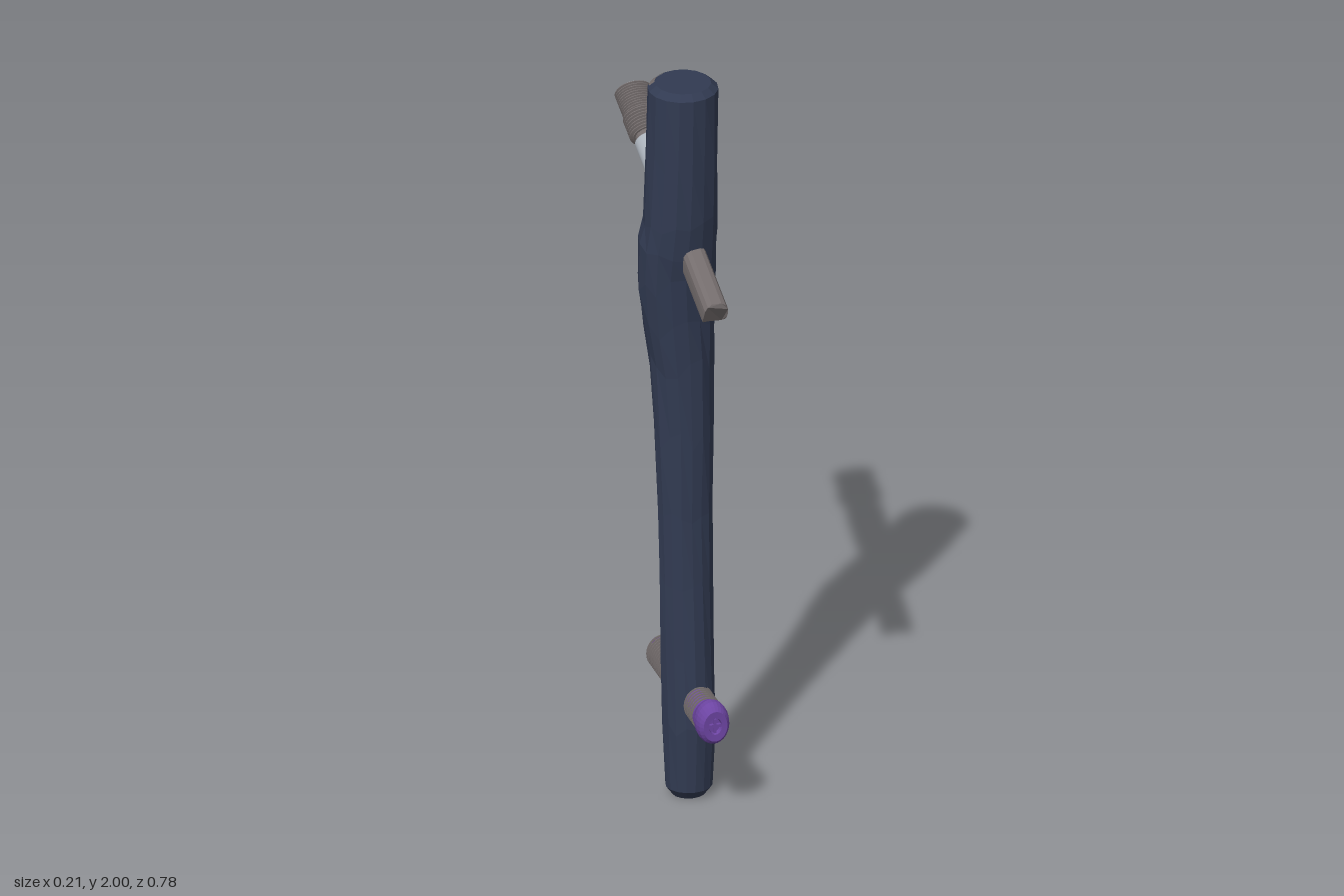
import * as THREE from 'three';

const mat = (name, color, flat = false) => {
  const m = new THREE.MeshStandardMaterial({ color, flatShading: flat });
  m.name = name;
  return m;
};

export function createModel() {
  const navy = mat('navy', 0x313a51, true);
  const steel = mat('steelGrey', 0x746d6d);
  steel.side = THREE.DoubleSide;
  const silver = mat('silver', 0xabb2bb);
  const purple = mat('purple', 0x6d45a3);

  const model = new THREE.Group();
  model.name = 'fixationNail';

  const add = (parent, name, geometry, material) => {
    const mesh = new THREE.Mesh(geometry, material);
    mesh.name = name;
    parent.add(mesh);
    return mesh;
  };
  // Turned part with crisp edges between its profile segments
  const lathe = (pts, start = 0, sweep = Math.PI * 2) => {
    const g = new THREE.LatheGeometry(pts.map(([r, y]) => new THREE.Vector2(r, y)), 28, start, sweep).toNonIndexed();
    g.computeVertexNormals();
    return g;
  };

  // Thread profile from y0 to y1; "gap" is the share of the pitch at the root
  const thread = (y0, y1, count, root, crest, gap) => {
    const pts = [];
    const p = (y1 - y0) / count;
    for (let i = 0; i < count; i++) {
      const y = y0 + i * p;
      const rise = (1 - gap) / 3;
      pts.push([root, y], [root, y + p * gap], [crest, y + p * (gap + rise)], [crest, y + p * (gap + 2 * rise)]);
    }
    pts.push([root, y1]);
    return pts;
  };

  // Nail shaft: slightly uneven loops given as y, x min, x max, z min, z max
  const sections = [
    [0, -0.032, 0.055, 0.13, 0.21],
    [0.025, -0.05, 0.072, 0.115, 0.23],
    [0.2, -0.055, 0.082, 0.1, 0.233],
    [0.4, -0.056, 0.082, 0.087, 0.217],
    [0.6, -0.055, 0.082, 0.075, 0.201],
    [0.8, -0.055, 0.084, 0.062, 0.19],
    [1.0, -0.06, 0.093, 0.048, 0.185],
    [1.2, -0.07, 0.095, 0.032, 0.18],
    [1.32, -0.09, 0.098, 0.028, 0.182],
    [1.44, -0.105, 0.098, 0.027, 0.193],
    [1.53, -0.102, 0.098, 0.029, 0.205],
    [1.62, -0.092, 0.097, 0.032, 0.214],
    [1.8, -0.085, 0.098, 0.036, 0.217],
    [1.985, -0.082, 0.1, 0.036, 0.219],
    [2, -0.062, 0.082, 0.053, 0.2],
  ];
  const sides = 16;
  let seed = 7;
  const rand = () => (seed = (seed * 16807) % 2147483647) / 2147483647;
  const pos = [];
  const idx = [];
  sections.forEach(([y, x0, x1, z0, z1], i) => {
    const inner = i > 1 && i < sections.length - 2;
    for (let j = 0; j < sides; j++) {
      const a = (j / sides) * Math.PI * 2;
      const k = inner ? 0.98 + rand() * 0.06 : 1;
      const dy = inner ? (rand() - 0.5) * 0.06 : 0;
      pos.push((x0 + x1) / 2 + (Math.cos(a) * k * (x1 - x0)) / 2, y + dy,
        (z0 + z1) / 2 + (Math.sin(a) * k * (z1 - z0)) / 2);
      if (i < sections.length - 1) {
        const n = (j + 1) % sides;
        const lo = i * sides;
        const hi = lo + sides;
        idx.push(lo + j, hi + j, hi + n, lo + j, hi + n, lo + n);
      }
    }
  });
  const top = (sections.length - 1) * sides;
  for (let j = 1; j < sides - 1; j++) {
    idx.push(0, j, j + 1, top, top + j + 1, top + j);
  }
  const shaft = new THREE.BufferGeometry();
  shaft.setAttribute('position', new THREE.Float32BufferAttribute(pos, 3));
  shaft.setIndex(idx);
  shaft.computeVertexNormals();
  add(model, 'nailShaft', shaft, navy);

  // Bare metal crescent on the back right of the top rim
  const rim = add(model, 'rimCrescent', lathe([[0.088, 1.989], [0.074, 2]], Math.PI * 1.13, 0.85), steel);
  rim.position.set(0.01, 0, 0.127);

  // Upper blade and end cap, tilted; local y runs up and back
  const upper = new THREE.Group();
  upper.name = 'neckBlade';
  upper.position.set(0.03, 1.546, 0.13);
  upper.rotation.x = -1.206;
  model.add(upper);

  // Rounded blade with a hollowed, sloping tip
  const half = [[0.013, -0.039], [0.024, -0.034], [0.031, -0.022], [0.032, -0.01],
    [0.032, 0.01], [0.031, 0.022], [0.024, 0.034], [0.013, 0.039]];
  const outline = [...half, ...half.map(([x, y]) => [-x, y]).reverse()];
  const bladeShape = new THREE.Shape(outline.map(([x, y]) => new THREE.Vector2(x, y)));
  const blade = new THREE.ExtrudeGeometry(bladeShape, { depth: 0.36, bevelEnabled: false });
  blade.rotateX(-Math.PI / 2).translate(0, -0.27, 0);
  const bp = blade.attributes.position;
  for (let i = 0; i < bp.count; i++) {
    if (bp.getY(i) < -0.25) {
      const slope = Math.max(0, -bp.getZ(i)) * 0.4;
      const hollow = (0.032 - Math.abs(bp.getX(i))) * 0.4;
      bp.setY(i, bp.getY(i) + slope + hollow);
    }
  }
  blade.translate(-0.012, 0, 0);
  blade.computeVertexNormals();
  add(upper, 'blade', blade, steel);

  const barrel = new THREE.Group();
  barrel.name = 'barrel';
  barrel.position.x = 0.001;
  barrel.scale.set(1, 1, 0.8);
  upper.add(barrel);
  add(barrel, 'bladeCollar', new THREE.CylinderGeometry(0.043, 0.043, 0.14, 28).translate(0, 0.11, 0), steel);
  add(barrel, 'sleeve', new THREE.CylinderGeometry(0.047, 0.047, 0.186, 32).translate(0, 0.268, 0), silver);
  add(barrel, 'endThread', lathe([[0.04, 0.35], [0.04, 0.38],
    ...thread(0.38, 0.45, 7, 0.046, 0.054, 0.3), ...thread(0.45, 0.54, 11, 0.044, 0.05, 0.3)]), steel);
  // Pale end face with a recess
  add(barrel, 'endFace', lathe([[0.044, 0.54], [0.042, 0.544], [0.024, 0.544], [0.02, 0.52], [0, 0.52]]), silver);

  // Lower locking screw; local y runs to the back
  const screw = new THREE.Group();
  screw.name = 'lockingScrew';
  screw.position.set(0.022, 0.275, 0);
  screw.rotation.x = -Math.PI / 2;
  screw.scale.set(0.88, 1, 1);
  model.add(screw);
  const head = add(screw, 'screwHead', lathe([[0, -0.355], [0.02, -0.355], [0.023, -0.367], [0.042, -0.368],
    [0.053, -0.357], [0.058, -0.34], [0.057, -0.322], [0.05, -0.308], [0.044, -0.295], [0, -0.295]]), purple);
  head.scale.x = 0.86;
  // Cross bars in the head socket
  for (const turn of [0, Math.PI / 2]) {
    const bar = add(screw, 'socketRib', new THREE.BoxGeometry(0.038, 0.02, 0.008), purple);
    bar.position.y = -0.354;
    bar.rotation.y = turn;
  }
  // Purple core showing between slim grey thread ridges
  add(screw, 'screwCore', lathe([[0, -0.3], [0.044, -0.3], [0.044, -0.2], [0.041, -0.2],
    [0.041, 0.1], [0, 0.1]]), purple);
  add(screw, 'frontThread', lathe(thread(-0.3, -0.2, 8, 0.036, 0.048, 0.45)), steel);
  add(screw, 'rearThread', lathe(thread(-0.2, 0.096, 24, 0.034, 0.049, 0.4)), steel);
  add(screw, 'screwEnd', lathe([[0, 0.09], [0.044, 0.09], [0.044, 0.102], [0.038, 0.108],
    [0.02, 0.108], [0.017, 0.101], [0, 0.101]]), purple);

  return model;
}
